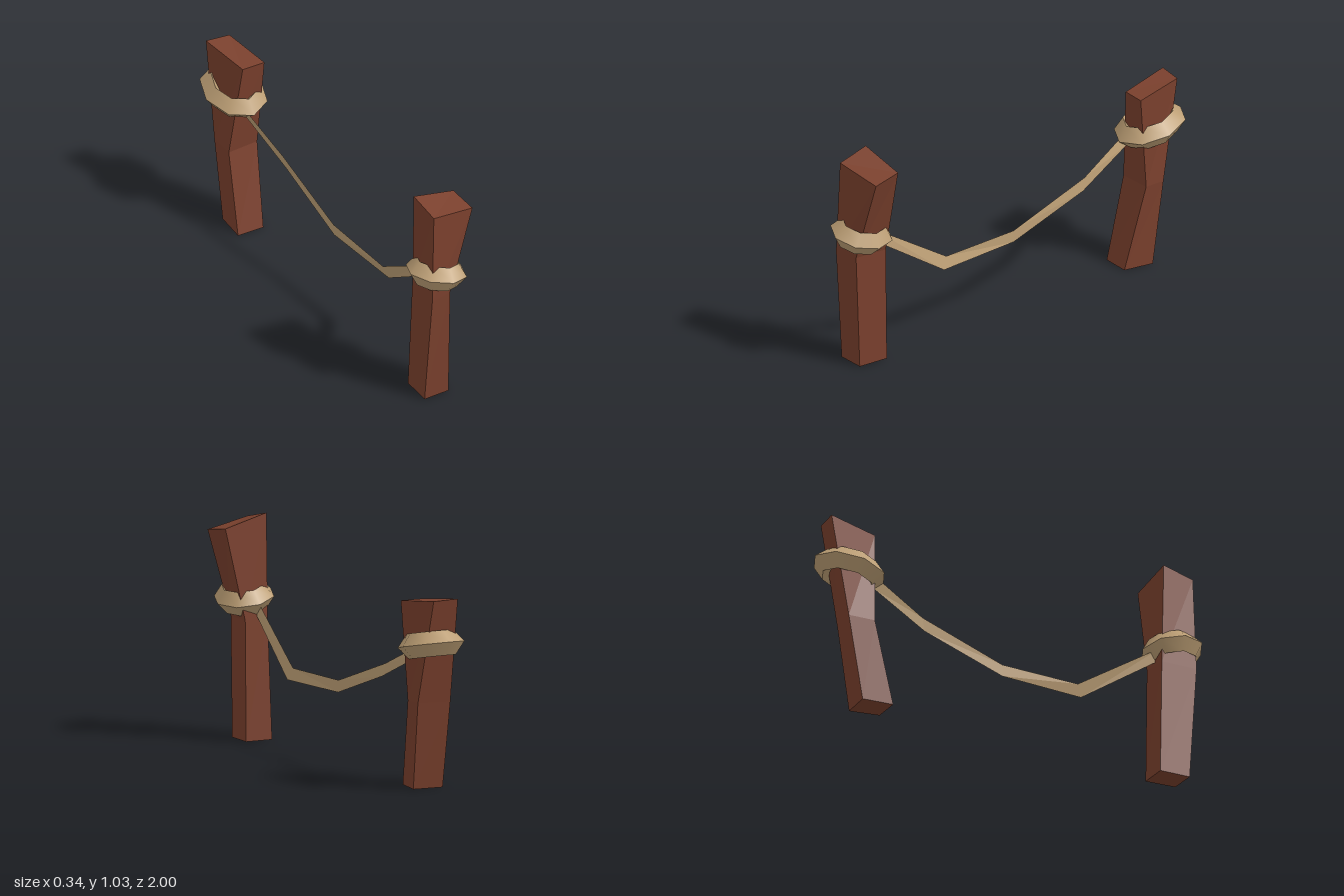
import * as THREE from 'three';
import { mergeGeometries } from 'three/addons/utils/BufferGeometryUtils.js';

const wood = new THREE.MeshStandardMaterial({ color: 0x7a402d });
wood.name = 'reddish wood';
const hemp = new THREE.MeshStandardMaterial({ color: 0xbd9f75, side: THREE.DoubleSide });
hemp.name = 'tan rope';

// Faceted post through four-cornered sections, each: front left, front right, back right, back left
function post(name, sections) {
  const index = [];
  for (let s = 0; s < sections.length - 1; s++) {
    for (let i = 0; i < 4; i++) {
      const a = s * 4 + i, b = s * 4 + (i + 1) % 4;
      index.push(a, b, b + 4, a, b + 4, a + 4);
    }
  }
  const t = (sections.length - 1) * 4;
  index.push(0, 2, 1, 0, 3, 2, t, t + 1, t + 2, t, t + 2, t + 3);
  const indexed = new THREE.BufferGeometry();
  indexed.setAttribute('position', new THREE.Float32BufferAttribute(sections.flat(2), 3));
  indexed.setIndex(index);
  const geo = indexed.toNonIndexed();
  geo.computeVertexNormals();
  const mesh = new THREE.Mesh(geo, wood);
  mesh.name = name;
  return mesh;
}

// Eight-sided rope loop with a diamond section, sharp between its bands
function loop(name, rx, rz, position, rotation) {
  const profile = [[0.7, -0.057], [1, 0], [0.7, 0.057], [0.45, 0]].map(p => new THREE.Vector2(...p));
  const bands = profile.map((p, i) => new THREE.LatheGeometry([p, profile[(i + 1) % 4]], 8));
  const geo = mergeGeometries(bands);
  geo.scale(rx, 1, rz);
  const mesh = new THREE.Mesh(geo, hemp);
  mesh.name = name;
  mesh.position.set(...position);
  mesh.rotation.set(...rotation);
  return mesh;
}

// Flat hanging strand, given as pairs of top and bottom edge points
function strand(pairs) {
  const index = [];
  for (let i = 0; i < pairs.length - 1; i++) {
    const a = i * 2;
    index.push(a, a + 1, a + 3, a, a + 3, a + 2);
  }
  const indexed = new THREE.BufferGeometry();
  indexed.setAttribute('position', new THREE.Float32BufferAttribute(pairs.flat(2), 3));
  indexed.setIndex(index);
  const geo = indexed.toNonIndexed();
  geo.computeVertexNormals();
  const mesh = new THREE.Mesh(geo, hemp);
  mesh.name = 'hangingRope';
  return mesh;
}

export function createModel() {
  const group = new THREE.Group();
  group.name = 'ropeFence';

  group.add(post('frontPost', [
    [[-0.084, 0, 0.893], [0.044, 0, 0.89], [0.054, 0, 0.743], [-0.08, 0, 0.745]],
    [[-0.07, 0.55, 0.936], [0.041, 0.55, 0.909], [0.055, 0.55, 0.75], [-0.066, 0.55, 0.76]],
    [[-0.055, 0.995, 0.925], [0.168, 0.955, 0.895], [0.153, 0.975, 0.757], [-0.065, 1.03, 0.77]],
  ]));
  group.add(post('backPost', [
    [[-0.112, 0, -0.645], [0.02, 0, -0.642], [0.045, 0, -0.785], [-0.1, 0, -0.795]],
    [[-0.105, 0.4, -0.735], [0.05, 0.4, -0.743], [0.052, 0.4, -0.84], [-0.1, 0.4, -0.866]],
    [[-0.05, 0.85, -0.705], [0.063, 0.85, -0.702], [0.026, 0.875, -0.94], [-0.092, 0.88, -0.95]],
  ]));

  group.add(loop('frontRopeLoop', 0.137, 0.15, [0.005, 0.645, 0.85], [-0.12, 0, -0.2]));
  group.add(loop('backRopeLoop', 0.145, 0.179, [-0.025, 0.66, -0.823], [0.2, 0, 0]));

  group.add(strand([
    [[-0.02, 0.64, 0.78], [-0.01, 0.575, 0.77]],
    [[0.018, 0.385, 0.375], [0.034, 0.33, 0.4]],
    [[0.004, 0.385, -0.02], [0.006, 0.33, -0.02]],
    [[-0.006, 0.52, -0.435], [0.002, 0.46, -0.42]],
    [[-0.05, 0.645, -0.7], [-0.036, 0.59, -0.7]],
  ]));
  return group;
}
